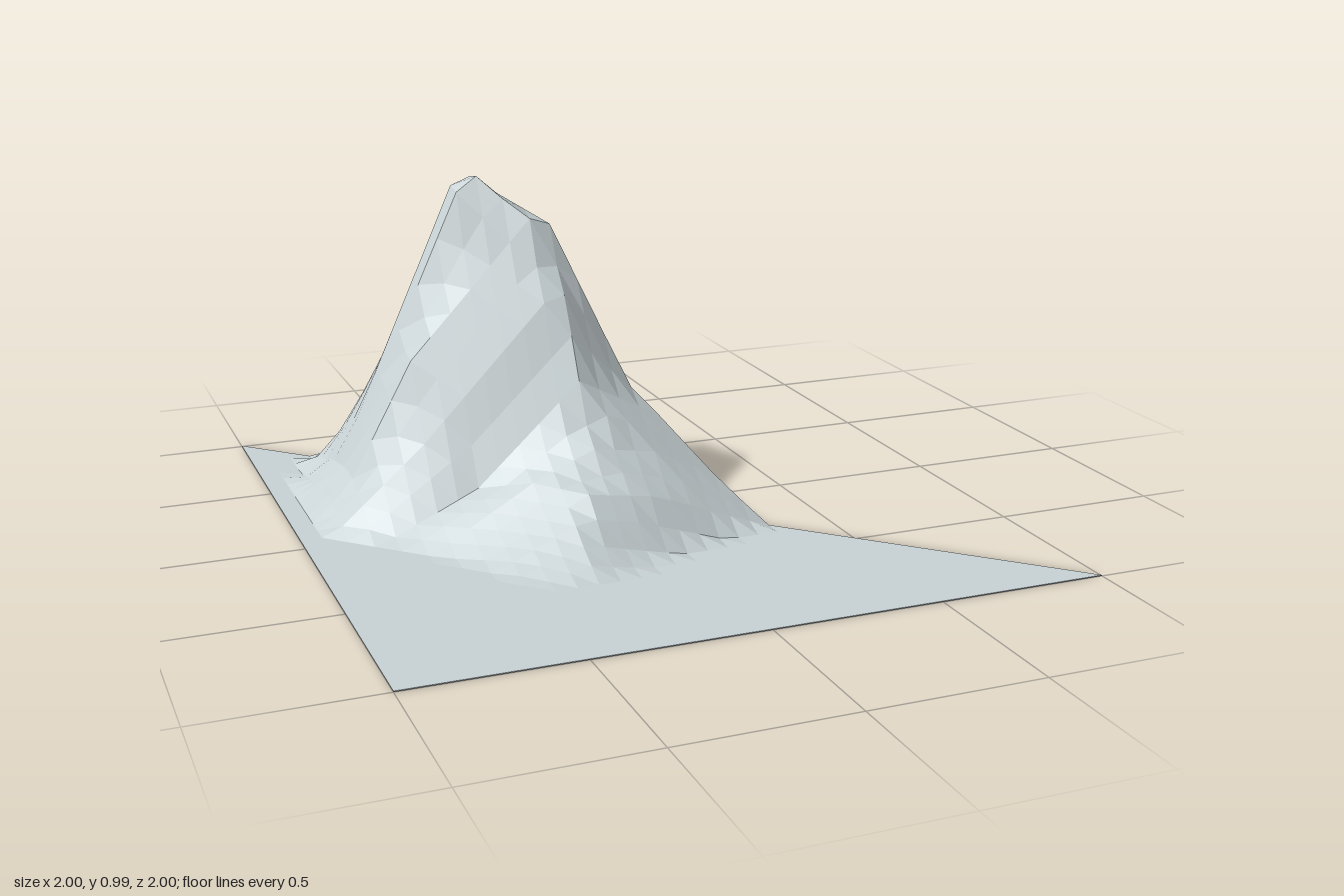
import * as THREE from 'three';

// Cross-sections of the mountain: z, then x,height pairs from the left foot to the cut face
const SECTIONS = [
  [-0.8125, -0.87, 0, -0.8125, 0],
  [-0.75, -0.86, 0, -0.75, 0.035],
  [-0.6875, -0.87, 0, -0.6875, 0.13],
  [-0.5625, -0.9, 0, -0.81, 0.07, -0.5625, 0.48],
  [-0.4375, -0.92, 0, -0.81, 0.11, -0.4375, 0.82],
  [-0.375, -0.94, 0, -0.81, 0.12, -0.4375, 0.95, -0.375, 0.975],
  [-0.3125, -0.94, 0, -0.81, 0.13, -0.4375, 0.94, -0.375, 0.985, -0.3125, 0.93],
  [-0.1875, -0.93, 0, -0.81, 0.13, -0.625, 0.47, -0.25, 0.87, -0.1875, 0.85],
  [-0.0625, -0.91, 0, -0.625, 0.25, -0.25, 0.64, -0.1875, 0.66, -0.0625, 0.53],
  [0, -0.86, 0, -0.5, 0.25, -0.1875, 0.55, 0, 0.375],
  [0.0625, -0.8, 0, -0.5, 0.14, -0.1875, 0.43, 0.0625, 0.3],
  [0.1875, -0.68, 0, -0.375, 0.18, -0.1875, 0.26, 0, 0.23, 0.1875, 0.14],
  [0.3125, -0.6, 0, -0.25, 0.17, -0.05, 0.14, 0.3125, 0],
  [0.4375, -0.53, 0, -0.3, 0.07, 0, 0],
  [0.5625, -0.4, 0, -0.25, 0],
];
const CELLS = 32;
const STEP = 2 / CELLS;
const GROUND = 0.003;
const lerp = THREE.MathUtils.lerp;

// Height of one section at t, where 0 is its first point and 1 its last
function sectionHeight(s, t) {
  const x = lerp(s[1], s[s.length - 2], t);
  for (let k = 1; k + 3 < s.length; k += 2) {
    if (x <= s[k + 2] + 1e-9) return lerp(s[k + 1], s[k + 3], (x - s[k]) / (s[k + 2] - s[k]));
  }
  return s[s.length - 1];
}

// Height of the terrain, blended between the two nearest sections
function height(x, z) {
  for (let k = 0; k + 1 < SECTIONS.length; k++) {
    const a = SECTIONS[k], b = SECTIONS[k + 1];
    if (z < a[0] || z > b[0]) continue;
    const f = (z - a[0]) / (b[0] - a[0]);
    const start = lerp(a[1], b[1], f);
    const end = lerp(a[a.length - 2], b[b.length - 2], f);
    const t = (x - start) / (end - start);
    if (t < 0 || t > 1 + 1e-6) return GROUND;
    return Math.max(GROUND, lerp(sectionHeight(a, t), sectionHeight(b, t), f));
  }
  return GROUND;
}

function meshFrom(points, name, material) {
  const geometry = new THREE.BufferGeometry();
  geometry.setAttribute('position', new THREE.Float32BufferAttribute(points, 3));
  geometry.computeVertexNormals();
  const mesh = new THREE.Mesh(geometry, material);
  mesh.name = name;
  return mesh;
}

export function createModel() {
  const group = new THREE.Group();
  group.name = 'mountainTerrain';
  const stone = new THREE.MeshStandardMaterial({ color: 0xc9d3d6, flatShading: true });
  stone.name = 'paleStone';

  const top = (i, j) => {
    const x = -1 + i * STEP, z = -1 + j * STEP;
    return [x, height(x, z), z];
  };
  const foot = (i, j) => [-1 + i * STEP, 0, -1 + j * STEP];

  // Triangular half of a square height field
  const surface = [];
  for (let j = 0; j < CELLS; j++) {
    for (let i = 0; i <= j; i++) {
      const a = top(i, j), c = top(i + 1, j + 1);
      surface.push(...a, ...top(i, j + 1), ...c);
      if (i < j) surface.push(...a, ...c, ...top(i + 1, j));
    }
  }
  group.add(meshFrom(surface, 'mountainSurface', stone));

  // Vertical walls: the diagonal cut face and the thin left and front rims
  const walls = [];
  const wall = (i0, j0, i1, j1) => walls.push(
    ...foot(i0, j0), ...top(i0, j0), ...top(i1, j1),
    ...foot(i0, j0), ...top(i1, j1), ...foot(i1, j1));
  for (let k = 0; k < CELLS; k++) {
    wall(k, k, k + 1, k + 1);
    wall(0, k + 1, 0, k);
    wall(k + 1, CELLS, k, CELLS);
  }
  group.add(meshFrom(walls, 'cutFace', stone));

  // Flat underside
  const base = [...foot(0, 0), ...foot(CELLS, CELLS), ...foot(0, CELLS)];
  group.add(meshFrom(base, 'underside', stone));
  return group;
}
